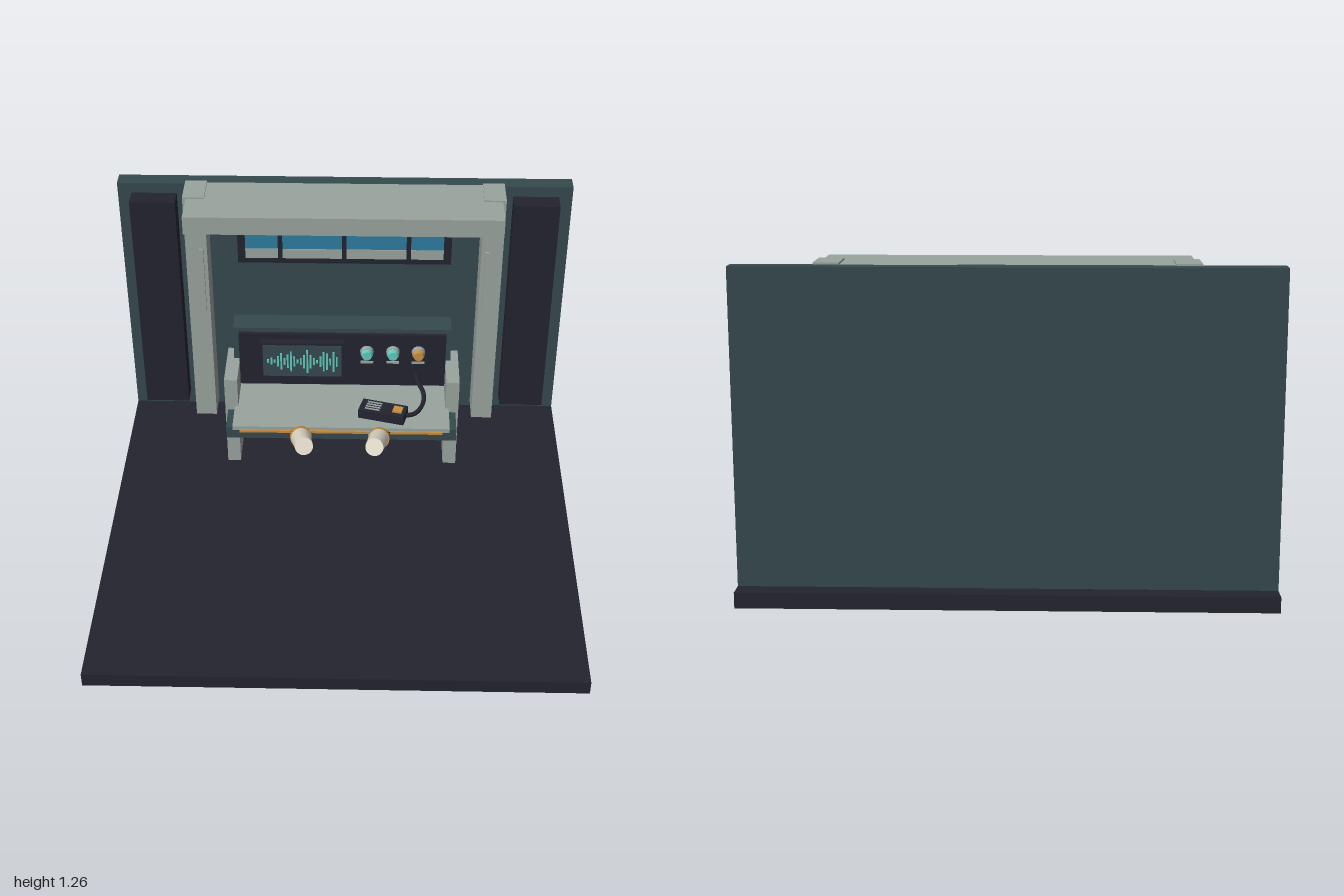
import * as THREE from 'three';

const mat = (name, color) => {
  const m = new THREE.MeshStandardMaterial({ color });
  m.name = name;
  return m;
};

export function createModel() {
  const dark = mat('charcoal', 0x242430);
  const teal = mat('wall teal', 0x35494d);
  const grey = mat('panel grey', 0x9aa49f);
  const blue = mat('window blue', 0x2f7d9f);
  const gold = mat('gold', 0xc58f42);
  const cyan = mat('display cyan', 0x62cabd);
  const cream = mat('cream', 0xe4ddcd);

  const root = new THREE.Group();
  root.name = 'controlStation';

  const add = (parent, name, geometry, material) => {
    const m = new THREE.Mesh(geometry, material);
    m.name = name;
    parent.add(m);
    return m;
  };
  // Box given by its limits on each axis
  const box = (parent, name, material, x0, x1, y0, y1, z0, z1) => {
    const m = add(parent, name, new THREE.BoxGeometry(x1 - x0, y1 - y0, z1 - z0), material);
    m.position.set((x0 + x1) / 2, (y0 + y1) / 2, (z0 + z1) / 2);
    return m;
  };
  // Cylinder lying along z
  const rod = (parent, name, material, x, y, z0, z1, rBack, rFront = rBack, sides = 20) => {
    const g = new THREE.CylinderGeometry(rFront, rBack, z1 - z0, sides).rotateX(Math.PI / 2);
    const m = add(parent, name, g, material);
    m.position.set(x, y, (z0 + z1) / 2);
    return m;
  };

  // Room shell
  box(root, 'floor', dark, -1, 1, 0, 0.06, -0.975, 0.975);
  box(root, 'backWall', teal, -1, 1, 0.06, 1.253, -0.9, -0.825);
  box(root, 'overheadBeam', grey, -0.685, 0.685, 1.17, 1.253, -0.838, -0.53);
  for (const s of [-1, 1]) {
    const side = new THREE.Group();
    side.name = s > 0 ? 'leftSide' : 'rightSide';
    root.add(side);
    const sideBox = (name, m, x0, x1, ...r) =>
      box(side, name, m, Math.min(s * x0, s * x1), Math.max(s * x0, s * x1), ...r);
    sideBox('wallPanel', dark, 0.74, 0.94, 0.13, 1.205, -0.83, -0.738);
    sideBox('pillar', grey, 0.605, 0.7, 0.09, 1.26, -0.84, -0.688);
    sideBox('pillarRail', grey, 0.62, 0.638, 0.69, 1.01, -0.678, -0.666);
    sideBox('deskLeg', grey, 0.45, 0.507, 0.2, 0.64, -0.45, -0.205);
  }

  // Window
  const win = new THREE.Group();
  win.name = 'window';
  root.add(win);
  box(win, 'windowFrame', dark, -0.48, 0.48, 0.87, 1.14, -0.83, -0.795);
  box(win, 'windowGlass', blue, -0.445, 0.445, 0.9, 1.11, -0.797, -0.79);
  box(win, 'horizonStrip', grey, -0.445, 0.445, 0.9, 0.947, -0.791, -0.786);
  for (const x of [-0.288, 0, 0.288]) {
    box(win, 'mullion', dark, x - 0.01, x + 0.01, 0.89, 1.12, -0.795, -0.778);
  }

  // Desk
  const desk = new THREE.Group();
  desk.name = 'desk';
  root.add(desk);
  box(desk, 'deskBase', teal, -0.495, 0.495, 0.425, 0.483, -0.475, -0.08);
  box(desk, 'deskTop', grey, -0.465, 0.465, 0.483, 0.503, -0.46, -0.058);
  box(desk, 'deskTrim', gold, -0.435, 0.435, 0.478, 0.489, -0.06, -0.05);

  // Console with screen and dials
  const con = new THREE.Group();
  con.name = 'console';
  root.add(con);
  box(con, 'consoleBody', teal, -0.475, 0.472, 0.5, 0.8, -0.477, -0.372);
  box(con, 'consoleFace', dark, -0.45, 0.45, 0.515, 0.78, -0.374, -0.356);
  box(con, 'screenFrame', dark, -0.355, 0.008, 0.575, 0.755, -0.36, -0.322);
  box(con, 'screen', teal, -0.345, -0.003, 0.585, 0.745, -0.323, -0.318);
  const bars = [1, 2, 1, 3, 5, 2, 4, 6, 3, 1, 2, 4, 7, 4, 2, 1, 3, 6, 5, 2, 6, 3];
  bars.forEach((n, i) => {
    const x = -0.322 + i * 0.0142, h = n * 0.0085;
    box(con, 'waveBar', cyan, x - 0.004, x + 0.004, 0.665 - h, 0.665 + h, -0.319, -0.313);
  });
  [0.107, 0.22, 0.331].forEach((x, i) => {
    rod(con, 'dialRim', grey, x, 0.695, -0.357, -0.335, 0.03, 0.027);
    rod(con, 'dialCap', i === 2 ? gold : cyan, x, 0.695, -0.336, -0.317, 0.026, 0.021);
    box(con, 'dialLabel', grey, x - 0.028, x + 0.028, 0.635, 0.645, -0.357, -0.35);
  });

  // Handheld radio lying on the desk
  const radio = new THREE.Group();
  radio.name = 'radio';
  radio.position.set(0.18, 0.503, -0.14);
  radio.rotation.y = -0.26;
  root.add(radio);
  box(radio, 'radioBody', dark, -0.1, 0.1, 0.005, 0.048, -0.042, 0.042);
  for (let i = 0; i < 4; i++) {
    const z = -0.024 + i * 0.016;
    box(radio, 'speakerSlot', grey, -0.075, -0.01, 0.047, 0.052, z - 0.003, z + 0.003);
  }
  box(radio, 'talkButton', gold, 0.045, 0.085, 0.047, 0.056, -0.02, 0.02);
  const cordPath = new THREE.CatmullRomCurve3([
    [0.275, 0.53, -0.115], [0.315, 0.53, -0.13], [0.35, 0.535, -0.19],
    [0.355, 0.55, -0.25], [0.33, 0.565, -0.32], [0.325, 0.57, -0.36],
  ].map((p) => new THREE.Vector3(...p)));
  add(root, 'radioCord', new THREE.TubeGeometry(cordPath, 32, 0.01, 8), dark);

  // Pair of floating gloved forearms reaching for the desk
  for (const s of [-1, 1]) {
    const arm = new THREE.Group();
    arm.name = s > 0 ? 'leftArm' : 'rightArm';
    arm.position.set(s * 0.142, 0.672, 0.285);
    arm.lookAt(s * 0.172, 0.58, 0.075);
    root.add(arm);
    rod(arm, 'sleeve', cream, 0, 0, 0, 0.145, 0.037, 0.041);
    rod(arm, 'cuff', gold, 0, 0, 0.14, 0.162, 0.044);
    box(arm, 'palm', dark, -0.034, 0.034, -0.018, 0.018, 0.16, 0.2);
    for (let i = 0; i < 4; i++) {
      const x = -0.027 + i * 0.018;
      box(arm, 'finger', grey, x - 0.006, x + 0.006, -0.008, 0.008, 0.198, 0.225);
      box(arm, 'fingertip', dark, x - 0.007, x + 0.007, -0.01, 0.007, 0.224, 0.238);
    }
    const thumb = box(arm, 'thumb', grey, -0.007, 0.007, -0.008, 0.008, -0.018, 0.018);
    thumb.position.set(s * 0.04, 0, 0.185);
    thumb.rotation.y = s * 0.3;
  }

  return root;
}
